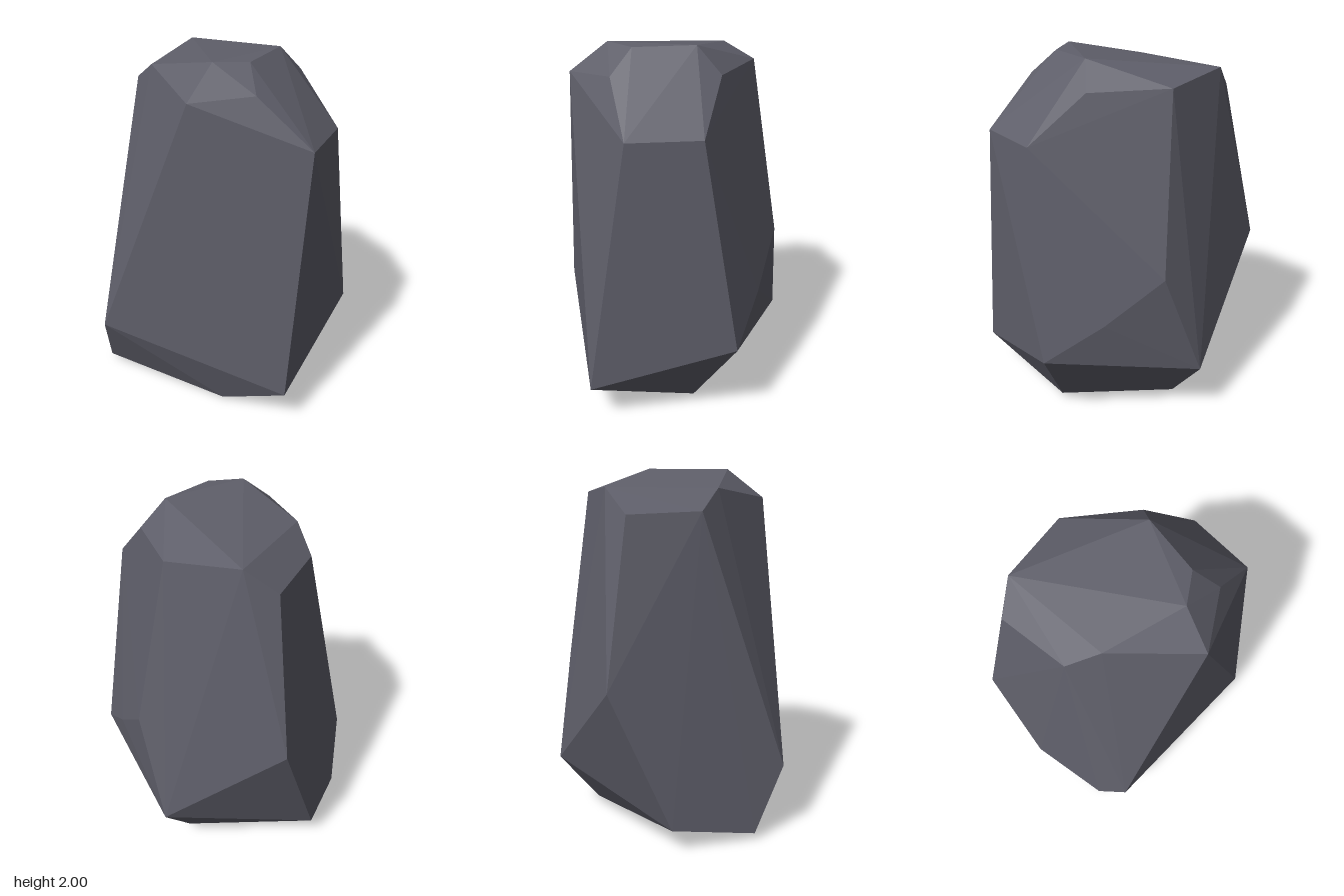
import * as THREE from 'three';
import { ConvexGeometry } from 'three/addons/geometries/ConvexGeometry.js';

// Corners of the faceted boulder, in rings from the crown down to the base
const crown = [
  [-0.20, 2.00, 0.24], [-0.03, 1.99, 0.33], [0.28, 2.00, 0.22],
  [0.49, 1.88, -0.18], [0.24, 1.92, -0.50], [-0.27, 1.91, -0.19],
];
const bevel = [
  [0.42, 1.86, 0.24], [0.42, 1.60, 0.54], [0.07, 1.60, 0.71], [-0.10, 1.86, 0.46],
  [-0.40, 1.84, 0.29], [-0.24, 1.80, -0.37], [0.09, 1.79, -0.59],
];
const waist = [
  [0.67, 0.92, -0.12], [0.655, 0.67, 0.20], [0.62, 0.46, 0.52], [-0.12, 0.22, 0.78],
  [-0.67, 0.40, -0.20], [0.13, 0.91, -0.78], [0.65, 0.33, -0.34],
];
const base = [
  [0.45, 0.06, -0.24], [0.35, 0.05, 0.40], [-0.23, 0.00, 0.38],
  [-0.55, 0.04, -0.35], [-0.17, 0.14, -0.65],
];

export function createModel() {
  const group = new THREE.Group();
  group.name = 'boulder';

  const stone = new THREE.MeshStandardMaterial({ color: 0x5f5f6a, flatShading: true });
  stone.name = 'slate grey stone';

  // Convex hull gives the flat chiselled facets
  const corners = [...crown, ...bevel, ...waist, ...base].map((p) => new THREE.Vector3(...p));
  const rock = new THREE.Mesh(new ConvexGeometry(corners), stone);
  rock.name = 'rock';
  group.add(rock);

  return group;
}
